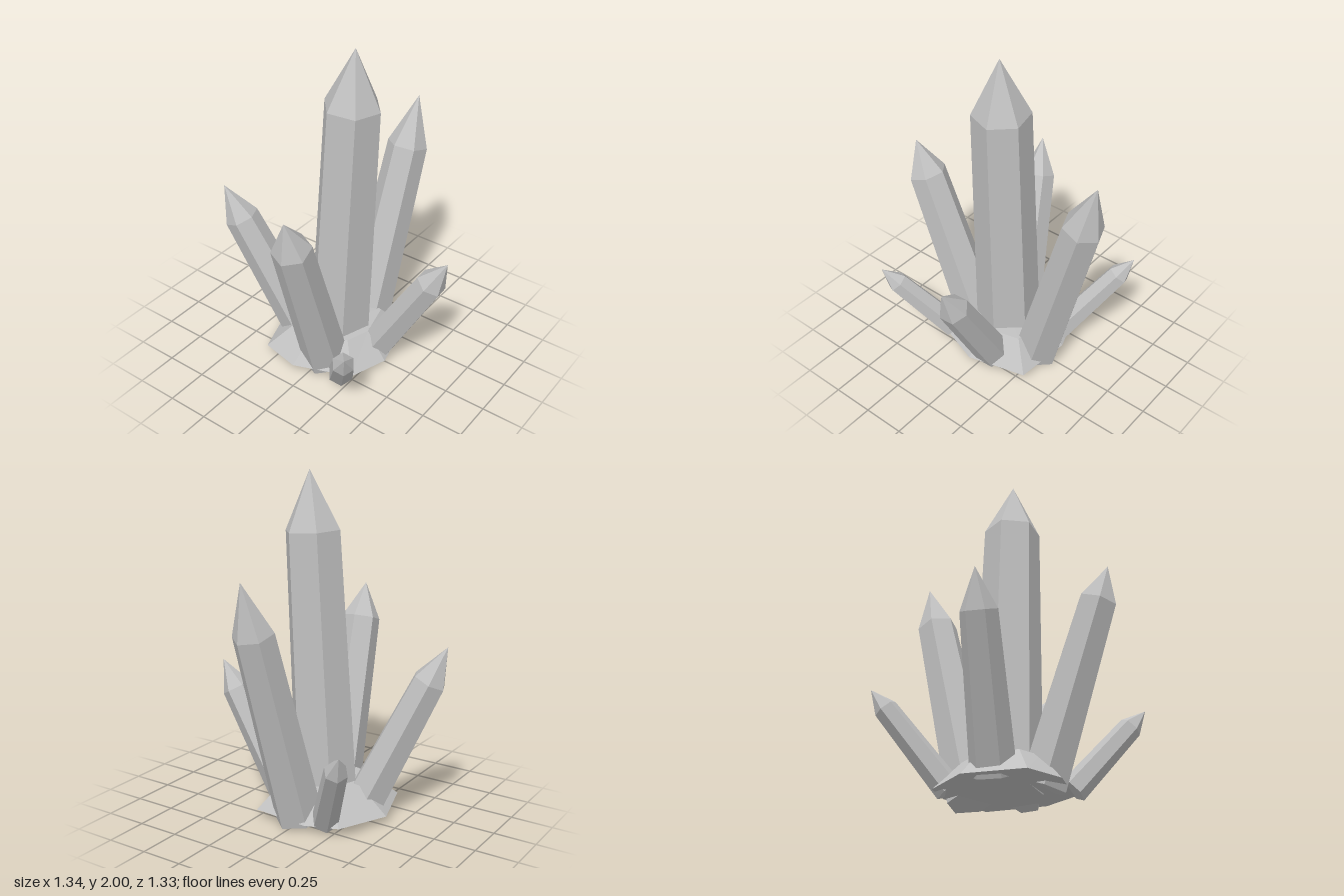
import * as THREE from 'three';

const stone = new THREE.MeshStandardMaterial({ color: 0xc0c0c0, flatShading: true });
stone.name = 'grey crystal';

// Tapered six-sided prism with a pointed end, running from base to tip.
// edgeOut: a corner (rather than a flat side) faces the way the crystal leans.
function crystal(name, base, tip, rBase, rTop, tipLength, edgeOut = true) {
  const from = new THREE.Vector3(...base);
  const axis = new THREE.Vector3(...tip).sub(from);
  const length = axis.length();
  axis.normalize();
  const profile = [[0, 0], [rBase, 0], [rTop, length - tipLength], [0, length]]
    .map(([r, y]) => new THREE.Vector2(r, y));
  const geometry = new THREE.LatheGeometry(profile, 6, edgeOut ? Math.PI / 6 : 0);
  const out = new THREE.Vector3(axis.x, 0, axis.z).normalize();
  out.addScaledVector(axis, -out.dot(axis)).normalize();
  const side = new THREE.Vector3().crossVectors(out, axis);
  geometry.applyMatrix4(new THREE.Matrix4().makeBasis(out, axis, side).setPosition(from));
  const mesh = new THREE.Mesh(geometry, stone);
  mesh.name = name;
  return mesh;
}

// Low irregular rock: a wide rim, a smaller top ring and two caps
function rockBase() {
  const rim = [[-0.02, -0.43], [0.27, -0.29], [0.34, -0.1], [0.31, 0.25],
    [-0.04, 0.34], [-0.27, 0.26], [-0.4, -0.08], [-0.35, -0.32]];
  const low = rim.map(([x, z]) => [x, 0.045, z]);
  const high = rim.map(([x, z]) => [x * 0.62, 0.2, z * 0.6]);
  const positions = [];
  rim.forEach((_, i) => {
    const j = (i + 1) % rim.length;
    positions.push(
      ...low[i], ...high[i], ...low[j],
      ...low[j], ...high[i], ...high[j],
      0, 0.21, 0, ...high[j], ...high[i],
      0, 0.045, 0, ...low[i], ...low[j]);
  });
  const geometry = new THREE.BufferGeometry();
  geometry.setAttribute('position', new THREE.Float32BufferAttribute(positions, 3));
  geometry.computeVertexNormals();
  const mesh = new THREE.Mesh(geometry, stone);
  mesh.name = 'rockBase';
  return mesh;
}

export function createModel() {
  const group = new THREE.Group();
  group.name = 'crystalCluster';
  group.add(
    rockBase(),
    crystal('mainCrystal', [-0.02, 0.04, -0.02], [0, 2, 0.08], 0.195, 0.165, 0.335),
    crystal('leftCrystal', [0.225, 0.04, 0.01], [0.64, 1.475, 0.08], 0.145, 0.12, 0.305),
    crystal('rightCrystal', [-0.215, 0.05, 0.025], [-0.63, 1.255, 0.085], 0.14, 0.114, 0.215),
    crystal('backCrystal', [-0.09, 0.07, -0.24], [-0.27, 1.035, -0.665], 0.125, 0.102, 0.225, false),
    crystal('frontCrystal', [0.045, 0.065, 0.22], [0.07, 0.837, 0.665], 0.107, 0.09, 0.19, false),
    crystal('smallBackCrystal', [0.24, 0.06, -0.18], [0.57, 0.608, -0.477], 0.08, 0.067, 0.135),
    crystal('smallFrontCrystal', [-0.295, 0.06, 0.2], [-0.617, 0.517, 0.46], 0.078, 0.065, 0.13),
  );
  return group;
}
